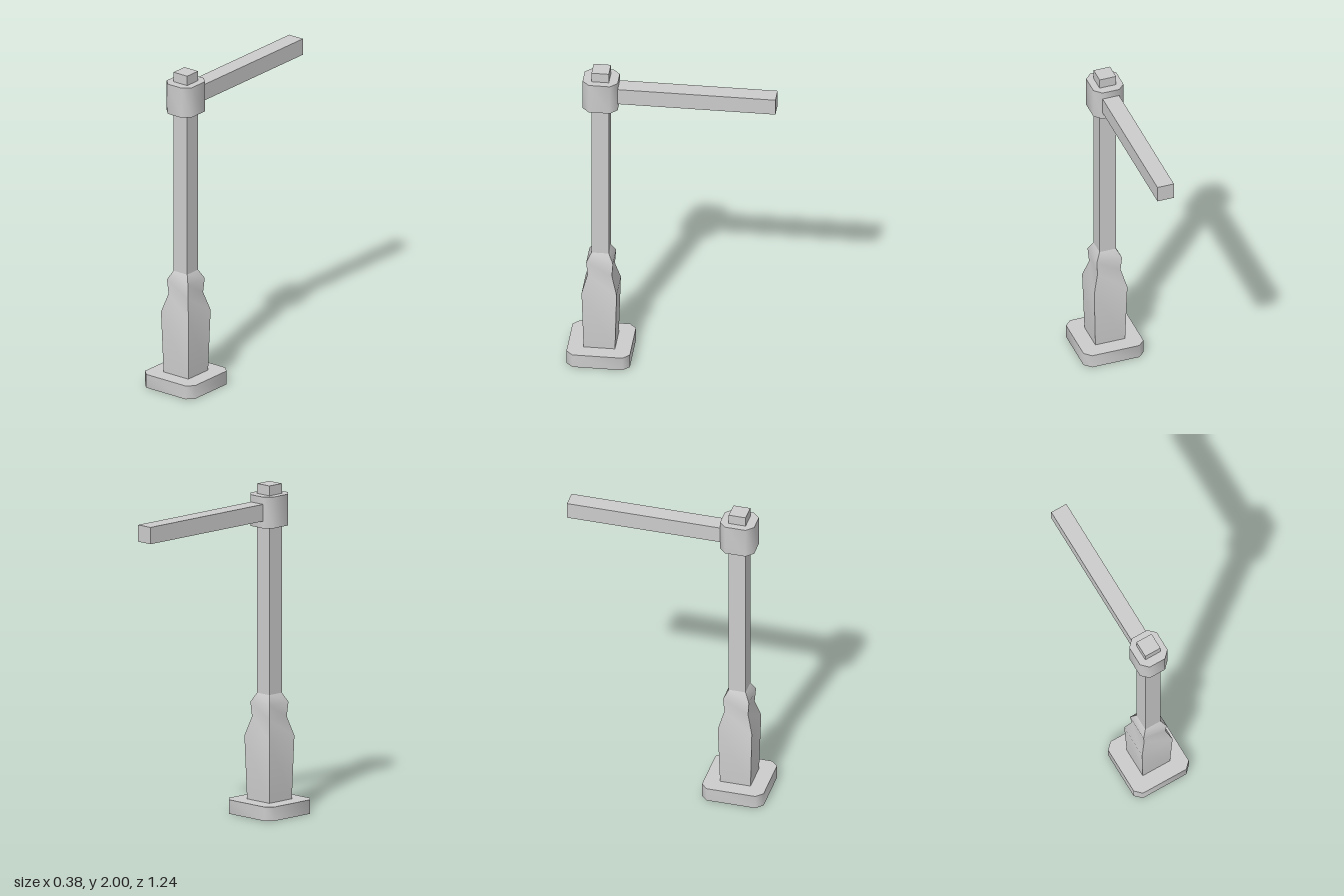
import * as THREE from 'three';
import { toCreasedNormals } from 'three/addons/utils/BufferGeometryUtils.js';

const material = new THREE.MeshStandardMaterial({ color: 0xcccccc });
const CREASE = THREE.MathUtils.degToRad(55);
const POST_Z = 0.43;

function part(name, geometry, x, y, z) {
  const mesh = new THREE.Mesh(geometry, material);
  mesh.name = name;
  mesh.position.set(x, y, z);
  return mesh;
}

// Upright block with its four vertical corners cut off; stands on y = 0
function chamferedBlock(hx, hz, height, cut) {
  const shape = new THREE.Shape([
    [hx - cut, -hz], [hx, -hz + cut], [hx, hz - cut], [hx - cut, hz],
    [-hx + cut, hz], [-hx, hz - cut], [-hx, -hz + cut], [-hx + cut, -hz],
  ].map(([x, y]) => new THREE.Vector2(x, y)));
  const geometry = new THREE.ExtrudeGeometry(shape, { depth: height, bevelEnabled: false });
  geometry.rotateX(-Math.PI / 2);
  return toCreasedNormals(geometry, CREASE);
}

// Square column from [half width, y] pairs
function squareColumn(profile) {
  const points = profile.map(([half, y]) => new THREE.Vector2(half * Math.SQRT2, y));
  return toCreasedNormals(new THREE.LatheGeometry(points, 4, Math.PI / 4), CREASE);
}

export function createModel() {
  const model = new THREE.Group();
  model.name = 'postWithArm';

  // Foot plate
  model.add(part('base', chamferedBlock(0.19, 0.19, 0.085, 0.04), 0, 0, POST_Z));

  // Shaped lower section
  model.add(part('pedestal', squareColumn([
    [0.094, 0.08], [0.105, 0.47], [0.073, 0.585], [0.08, 0.675], [0.052, 0.73],
  ]), 0, 0, POST_Z));

  // Square post running up through the collar
  model.add(part('post', new THREE.BoxGeometry(0.104, 1.3, 0.104), 0, 1.35, POST_Z));

  // Collar that holds the arm
  model.add(part('collar', chamferedBlock(0.095, 0.105, 0.19, 0.042), 0, 1.75, POST_Z));

  // Arm reaching backwards
  model.add(part('arm', new THREE.BoxGeometry(0.104, 0.102, 0.98), 0, 1.845, -0.13));

  return model;
}
